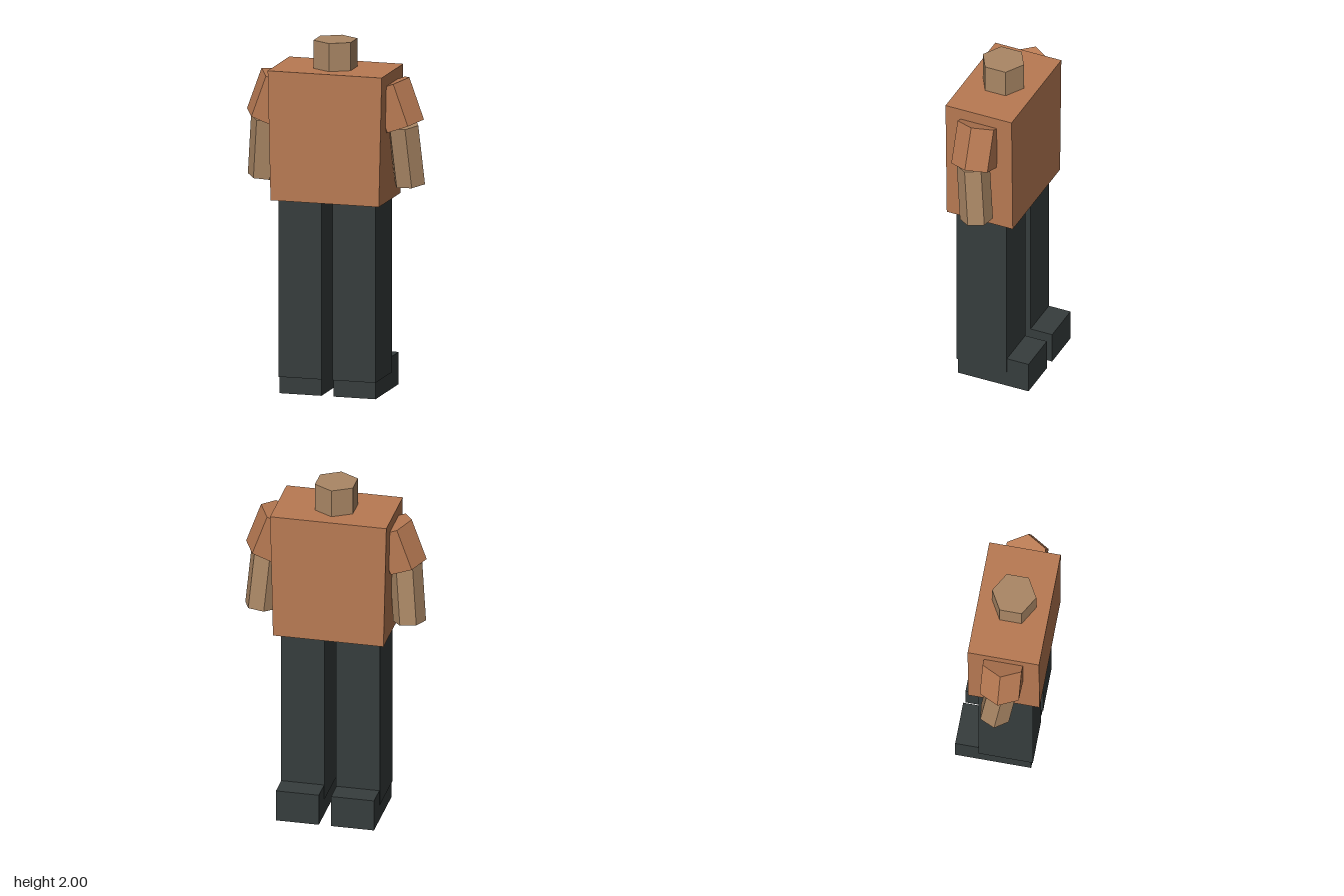
import * as THREE from 'three';

export function createModel() {
  const group = new THREE.Group();
  const material = (name, color) => {
    const m = new THREE.MeshStandardMaterial({ color, flatShading: true });
    m.name = name;
    return m;
  };
  const shirt = material('shirt orange brown', 0xb87a53);
  const skin = material('skin tan', 0xaa8765);
  const trousers = material('trousers dark grey', 0x363d3d);

  const add = (name, geometry, mat) => {
    const mesh = new THREE.Mesh(geometry, mat);
    mesh.name = name;
    group.add(mesh);
    return mesh;
  };

  // Box given by its limits on each axis
  const box = (name, mat, [x0, x1], [y0, y1], [z0, z1]) => {
    const g = new THREE.BoxGeometry(x1 - x0, y1 - y0, z1 - z0);
    g.translate((x0 + x1) / 2, (y0 + y1) / 2, (z0 + z1) / 2);
    return add(name, g, mat);
  };

  // Six-sided prism between two points, turned about its own axis
  const prism = (name, mat, radius, from, to, turn = 0) => {
    const a = new THREE.Vector3(...from);
    const b = new THREE.Vector3(...to);
    const g = new THREE.CylinderGeometry(radius, radius, a.distanceTo(b), 6);
    g.rotateY(THREE.MathUtils.degToRad(turn));
    const mesh = add(name, g, mat);
    mesh.position.copy(a).add(b).multiplyScalar(0.5);
    mesh.quaternion.setFromUnitVectors(new THREE.Vector3(0, 1, 0), a.sub(b).normalize());
    return mesh;
  };

  // Torso, slightly narrower at the hem
  const torso = box('torso', shirt, [-0.332, 0.332], [1.105, 1.84], [-0.162, 0.242]);
  const p = torso.geometry.attributes.position;
  for (let i = 0; i < p.count; i++) {
    if (p.getY(i) < 1.5) p.setX(i, p.getX(i) * 0.95);
  }
  torso.geometry.computeVertexNormals();

  prism('neck', skin, 0.125, [0, 2, 0.04], [0, 1.8, 0.04]);

  // Arms and legs, mirrored
  for (const s of [1, -1]) {
    const side = s > 0 ? 'left' : 'right';
    const span = (a, b) => (s > 0 ? [a, b] : [-b, -a]);
    prism(side + 'Sleeve', shirt, 0.127, [s * 0.311, 1.767, 0.04], [s * 0.396, 1.532, 0.04], 30);
    prism(side + 'Forearm', skin, 0.092, [s * 0.396, 1.535, 0.043], [s * 0.425, 1.197, 0.01], s * 23);
    box(side + 'Leg', trousers, span(0.033, 0.283), [0.095, 1.098], [-0.11, 0.198]);
    box(side + 'Foot', trousers, span(0.035, 0.28), [0, 0.183], [-0.242, 0.188]);
  }

  return group;
}
